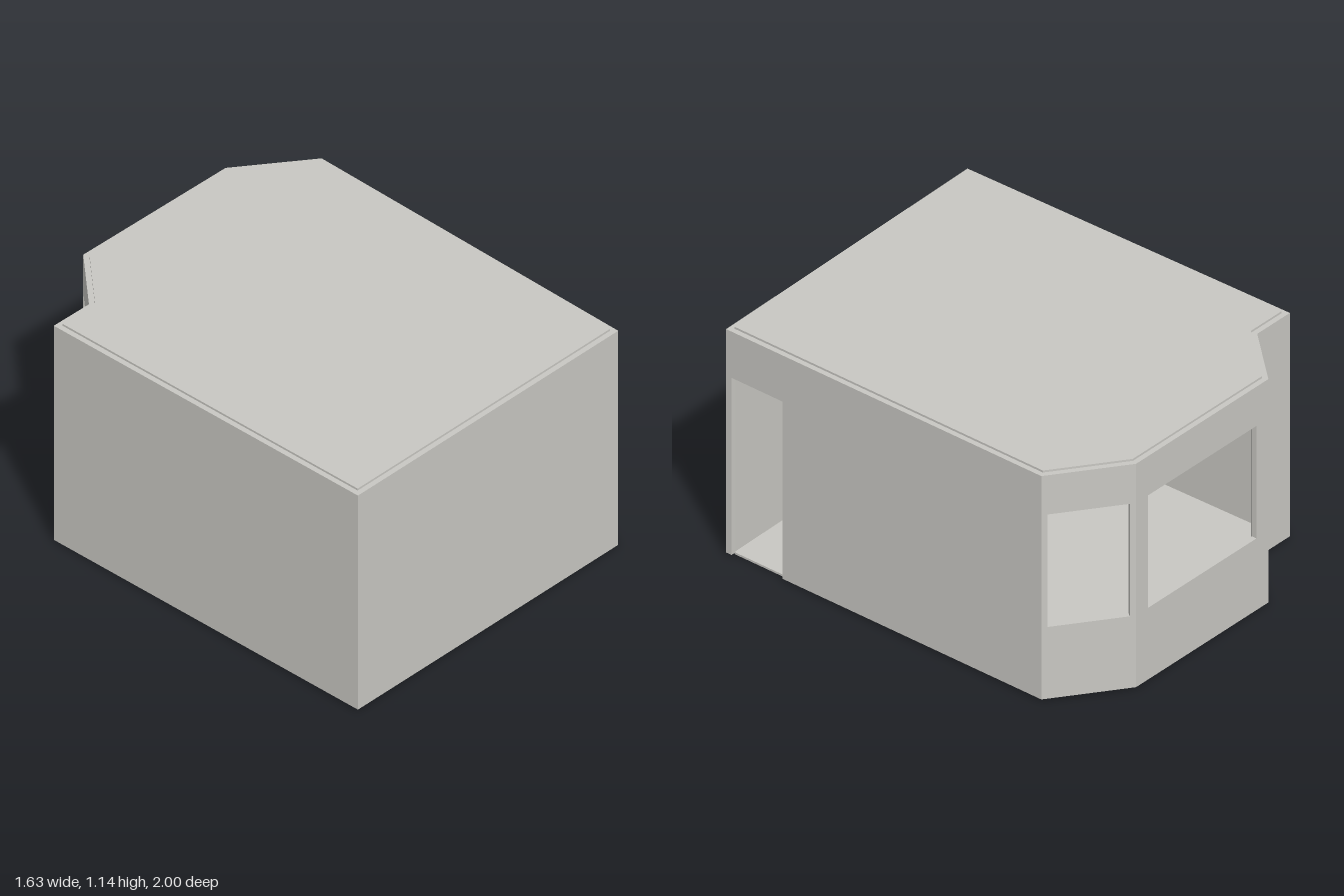
import * as THREE from 'three';

const T = 0.025;       // wall thickness
const Y0 = 0.01;       // wall bottom
const Y1 = 1.132;      // wall top
const TOP = 1.142;     // roof top

// Outer corners (x, z), counterclockwise seen from above, starting front left of the plan
const corners = [
  [-0.77, 1.0], [0.815, 0.97], [0.8, -0.76], [0.47, -1.0],
  [-0.38, -1.0], [-0.61, -0.74], [-0.82, -0.74],
].map(([x, z]) => new THREE.Vector2(x, z));

// One entry per wall; openings run from a to b as fractions of the wall length
const walls = [
  { name: 'frontWall' },
  { name: 'doorWall', door: [0.017, 0.179, 0.9] },
  { name: 'bayWallLeft', window: [0.065, 0.935] },
  { name: 'bayWallMiddle', window: [0.09, 0.91] },
  { name: 'bayWallRight', window: [0.06, 0.94] },
  { name: 'backReturnWall' },
  { name: 'sideWall' },
];
const SILL = 0.37, HEAD = 0.935;

const N = corners.length;
const at = (i) => corners[(i + N) % N];
const direction = (i) => at(i + 1).clone().sub(at(i)).normalize();

// How far the inner face is shortened at corner i so neighbouring walls meet in a mitre
function mitre(i) {
  const a = direction(i - 1), b = direction(i);
  const turn = Math.atan2(-a.cross(b), a.dot(b));
  return T * Math.tan(turn / 2);
}

function innerCorner(i) {
  const d = direction(i);
  return at(i).clone()
    .addScaledVector(d, mitre(i))
    .addScaledVector(new THREE.Vector2(-d.y, d.x), -T);
}

function wallGeometry(i, { door, window: win }) {
  const length = at(i).distanceTo(at(i + 1));
  const d = direction(i);

  // Outline, notched where there is a door
  const outline = [[0, Y0]];
  if (door) {
    const [a, b, h] = door;
    outline.push([a * length, Y0], [a * length, h], [b * length, h], [b * length, Y0]);
  }
  outline.push([length, Y0], [length, Y1], [0, Y1]);
  const shape = new THREE.Shape(outline.map(([u, v]) => new THREE.Vector2(u, v)));

  if (win) {
    const [a, b] = win.map((f) => f * length);
    shape.holes.push(new THREE.Path(
      [[a, SILL], [a, HEAD], [b, HEAD], [b, SILL]].map(([u, v]) => new THREE.Vector2(u, v))));
  }

  const geometry = new THREE.ExtrudeGeometry(shape, { depth: T, bevelEnabled: false });
  geometry.translate(0, 0, -T);

  // Slant the ends of the inner face
  const pos = geometry.attributes.position;
  for (let k = 0; k < pos.count; k++) {
    if (pos.getZ(k) > -T / 2) continue;
    const u = pos.getX(k);
    if (u < 1e-4) pos.setX(k, mitre(i));
    else if (u > length - 1e-4) pos.setX(k, length - mitre(i + 1));
  }
  geometry.computeVertexNormals();

  // Stand the wall on its plan line, outside face outward
  const matrix = new THREE.Matrix4().makeBasis(
    new THREE.Vector3(d.x, 0, d.y),
    new THREE.Vector3(0, 1, 0),
    new THREE.Vector3(-d.y, 0, d.x));
  matrix.setPosition(at(i).x, 0, at(i).y);
  return geometry.applyMatrix4(matrix);
}

// Thin plate filling the plan inside the walls
function slabGeometry(bottom, top) {
  const shape = new THREE.Shape(corners.map((_, i) => {
    const p = innerCorner(i);
    return new THREE.Vector2(p.x, -p.y);
  }));
  const geometry = new THREE.ExtrudeGeometry(shape, { depth: top - bottom, bevelEnabled: false });
  return geometry.rotateX(-Math.PI / 2).translate(0, bottom, 0);
}

export function createModel() {
  const model = new THREE.Group();
  model.name = 'room';
  const plaster = new THREE.MeshStandardMaterial({ color: 0xc8c7c2 });
  plaster.name = 'warm grey plaster';

  const add = (name, geometry) => {
    const mesh = new THREE.Mesh(geometry, plaster);
    mesh.name = name;
    model.add(mesh);
  };

  walls.forEach((wall, i) => add(wall.name, wallGeometry(i, wall)));
  add('floor', slabGeometry(0, Y0));
  add('ceiling', slabGeometry(Y1, TOP));
  return model;
}
